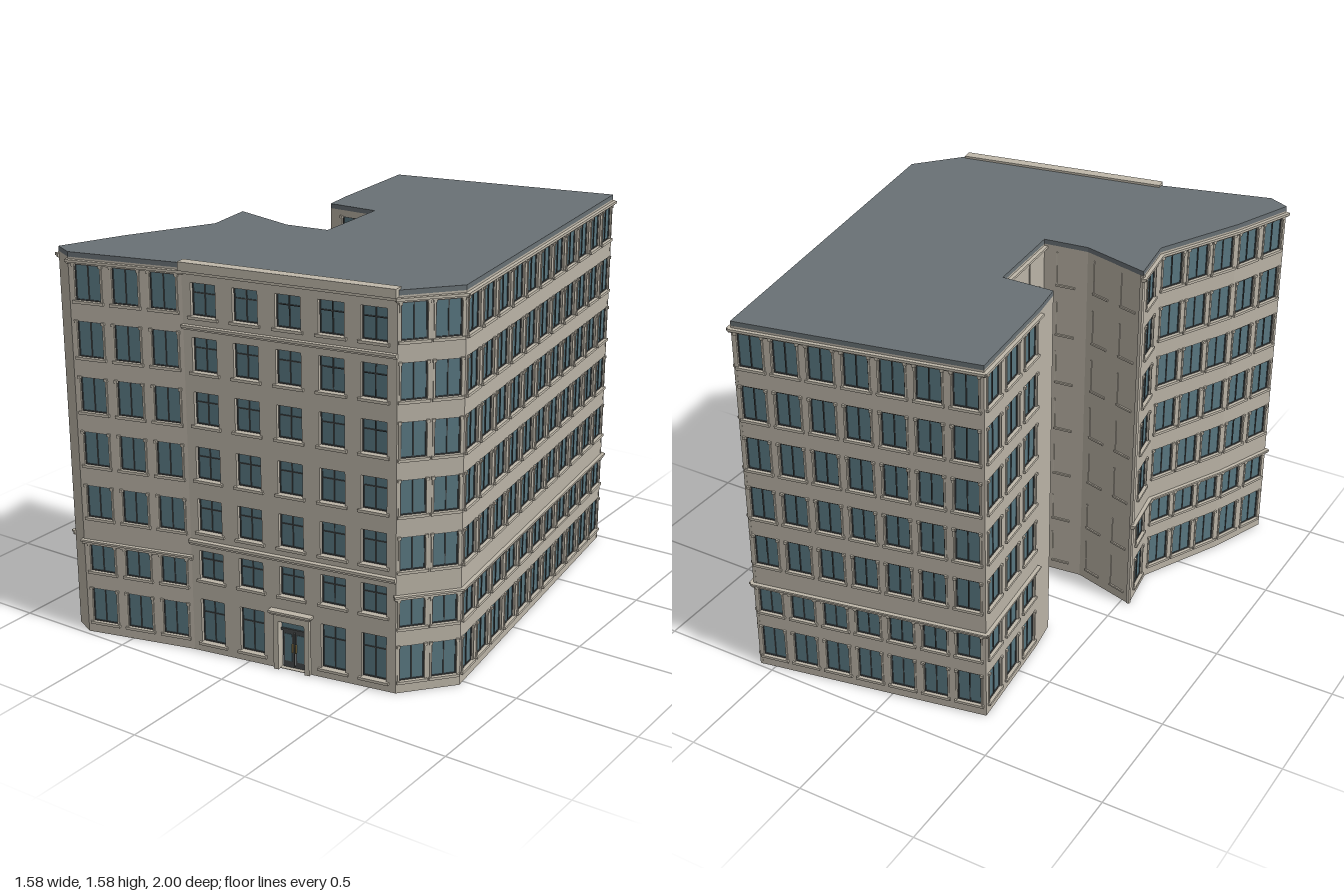
import * as THREE from 'three';
import { mergeGeometries } from 'three/addons/utils/BufferGeometryUtils.js';

const mat = (color) => new THREE.MeshStandardMaterial({ color });
const MATS = {
  stone: mat(0xbab3a6), trim: mat(0xbfb8aa), glass: mat(0x587680),
  frame: mat(0x45494a), roof: mat(0x697175), brass: mat(0xa08a55),
};
const WALL_TOP = 1.548;

// Storeys as [sill height, head height]
const SIDE_ROWS = [[0.05, 0.195], [0.27, 0.385], [0.5, 0.635], [0.72, 0.858], [0.94, 1.08], [1.16, 1.302], [1.382, 1.522]];
const FRONT_ROWS = [[0.04, 0.225], [0.31, 0.43], [0.51, 0.645], [0.725, 0.857], [0.945, 1.075], [1.155, 1.288], [1.37, 1.497]];

// Footprint corners [x, z]; each one starts a wall running to the next corner
const WALLS = [
  { at: [-0.69, 0.98], name: 'frontLeftWall', n: 3, w: 0.106, trim: true },
  { at: [-0.24, 0.865], name: 'entranceWall', front: true },
  { at: [0.607, 0.722], name: 'cornerWall', n: 2, w: 0.098, trim: true },
  { at: [0.77, 0.53], name: 'longSideWall', n: 11, w: 0.098, trim: true },
  { at: [0.567, -0.985], name: 'backWall', n: 7, w: 0.098, trim: true },
  { at: [-0.387, -0.802], name: 'rearWingWall', n: 3, w: 0.105, trim: true },
  { at: [-0.342, -0.33], name: 'rearWingEnd' },
  { at: [-0.32, -0.19], name: 'courtRearWall', n: 1, w: 0.1 },
  { at: [-0.103, -0.19], name: 'courtInnerWall', n: 2, w: 0.09, blind: true, trim: true },
  { at: [-0.077, 0.175], name: 'courtFrontWall', n: 1, w: 0.08, blind: true },
  { at: [-0.26, 0.195], name: 'courtSlantWall', n: 2, w: 0.08, blind: true },
  { at: [-0.538, 0.118], name: 'courtTipWall', n: 1, w: 0.1, trim: true },
  { at: [-0.505, 0.335], name: 'angledWall', n: 3, w: 0.098, trim: true },
  { at: [-0.675, 0.68], name: 'streetWall', n: 2, w: 0.098, trim: true },
  { at: [-0.775, 0.938], name: 'narrowWall' },
];

// Box given by its extents
function box(x0, x1, y0, y1, z0, z1) {
  return new THREE.BoxGeometry(x1 - x0, y1 - y0, z1 - z0)
    .translate((x0 + x1) / 2, (y0 + y1) / 2, (z0 + z1) / 2);
}

function addMesh(group, name, geometries, material) {
  if (!geometries.length) return;
  const mesh = new THREE.Mesh(mergeGeometries(geometries), material);
  mesh.name = name;
  group.add(mesh);
}

// Flat wall with rectangular openings, outer face at z = 0
function wallPanel(length, openings, thick) {
  const shape = new THREE.Shape([[0, 0], [length, 0], [length, WALL_TOP], [0, WALL_TOP]]
    .map(([x, y]) => new THREE.Vector2(x, y)));
  for (const [x0, x1, y0, y1] of openings) {
    shape.holes.push(new THREE.Path([[x0, y0], [x0, y1], [x1, y1], [x1, y0]]
      .map(([x, y]) => new THREE.Vector2(x, y))));
  }
  return new THREE.ExtrudeGeometry(shape, { depth: thick, bevelEnabled: false }).translate(0, 0, -thick);
}

// Glass, frame bars and stone sill of one window
function addWindow(parts, [x0, x1, y0, y1], depth, transom) {
  const f = 0.004, mid = (x0 + x1) / 2, z0 = -depth, z1 = -depth + 0.006;
  parts.glass.push(box(x0, x1, y0, y1, z0 - 0.002, z0 + 0.002));
  parts.frame.push(
    box(x0, x0 + f, y0, y1, z0, z1), box(x1 - f, x1, y0, y1, z0, z1),
    box(x0, x1, y0, y0 + f, z0, z1), box(x0, x1, y1 - f, y1, z0, z1),
    box(mid - f / 2, mid + f / 2, y0, y1, z0, z1));
  if (transom) {
    const t = y0 + (y1 - y0) * 0.68;
    parts.frame.push(box(x0, x1, t - f / 2, t + f / 2, z0, z1));
  }
  parts.trim.push(box(x0 - 0.011, x1 + 0.011, y0 - 0.011, y0, -0.004, 0.01));
  if (!transom) {
    // side jambs with small head blocks
    for (const [a, b] of [[x0 - 0.007, x0], [x1, x1 + 0.007]]) {
      parts.trim.push(box(a, b, y0, y1, -0.002, 0.004), box(a - 0.003, b + 0.003, y1 - 0.008, y1 + 0.003, -0.002, 0.008));
    }
  }
}

// Doorway with stone surround, hood, double leaf, fanlight and handles
function addDoor(parts, c) {
  const z = -0.022;
  for (const s of [-1, 1]) {
    const a = c + s * 0.055, b = c + s * 0.076, m = c + s * 0.026;
    parts.trim.push(box(Math.min(a, b), Math.max(a, b), 0, 0.225, -0.004, 0.014));
    parts.frame.push(box(m - 0.024, m + 0.024, 0.003, 0.158, z, z + 0.006));
    parts.glass.push(box(m - 0.015, m + 0.015, 0.03, 0.145, z + 0.003, z + 0.008));
    parts.brass.push(box(c + s * 0.007 - 0.002, c + s * 0.007 + 0.002, 0.07, 0.105, z + 0.006, z + 0.014));
  }
  parts.frame.push(box(c - 0.055, c + 0.055, 0.158, 0.168, z, z + 0.01));
  parts.glass.push(box(c - 0.055, c + 0.055, 0.168, 0.205, z, z + 0.004));
  parts.trim.push(
    box(c - 0.076, c + 0.076, 0.205, 0.235, -0.004, 0.014),
    box(c - 0.084, c + 0.084, 0.235, 0.243, -0.004, 0.024),
    box(c - 0.09, c + 0.09, 0.243, 0.252, -0.004, 0.03));
}

function buildWall(spec, next) {
  const group = new THREE.Group();
  group.name = spec.name;
  const dx = next[0] - spec.at[0], dz = next[1] - spec.at[1], len = Math.hypot(dx, dz);
  group.position.set(spec.at[0], 0, spec.at[1]);
  group.rotation.y = Math.atan2(-dz, dx);
  const parts = { trim: [], glass: [], frame: [], brass: [] };
  const openings = [];
  const thick = spec.front ? 0.024 : 0.012;

  if (spec.front) {
    // entrance front: five bays with the door in the middle
    [0.086, 0.258, 0.431, 0.603, 0.77].forEach((c, bay) => FRONT_ROWS.forEach(([y0, y1], row) => {
      if (bay === 2 && row === 0) {
        openings.push([c - 0.055, c + 0.055, 0.002, 0.205]);
        addDoor(parts, c);
      } else {
        const o = [c - 0.051, c + 0.051, y0, y1];
        openings.push(o);
        addWindow(parts, o, 0.021, true);
      }
    }));
    // string courses, cornice and parapet
    for (const [y0, y1, z] of [[0.455, 0.465, 0.012], [0.465, 0.476, 0.02], [1.318, 1.326, 0.01], [1.326, 1.336, 0.018], [1.53, 1.542, 0.012]]) {
      parts.trim.push(box(-0.002, len + 0.002, y0, y1, -0.004, z));
    }
    parts.trim.push(box(-0.004, len + 0.004, 1.542, 1.576, -0.022, 0.022));
  } else {
    for (let i = 0; i < (spec.n || 0); i++) {
      const c = (i + 0.5) * len / spec.n;
      for (const [y0, y1] of SIDE_ROWS) {
        const o = [c - spec.w / 2, c + spec.w / 2, y0, y1];
        if (spec.blind) {
          // walled-up window: only its sill and one jamb remain
          parts.trim.push(box(o[0], o[1], y0 - 0.008, y0, -0.002, 0.006), box(o[0], o[0] + 0.005, y0, y1, -0.002, 0.003));
        } else {
          openings.push(o);
          addWindow(parts, o, 0.01, false);
        }
      }
    }
    if (spec.trim) {
      // storey band and eaves cornice
      parts.trim.push(
        box(-0.006, len + 0.006, 0.386, 0.396, -0.004, 0.01), box(-0.008, len + 0.008, 0.396, 0.404, -0.004, 0.016),
        box(-0.006, len + 0.006, 1.524, 1.53, -0.004, 0.009), box(-0.008, len + 0.008, 1.53, 1.54, -0.004, 0.015));
    }
  }
  addMesh(group, 'masonry', [wallPanel(len, openings, thick)], MATS.stone);
  addMesh(group, 'stoneTrim', parts.trim, MATS.trim);
  addMesh(group, 'glazing', parts.glass, MATS.glass);
  addMesh(group, 'frames', parts.frame, MATS.frame);
  addMesh(group, 'doorHandles', parts.brass, MATS.brass);
  return group;
}

export function createModel() {
  const model = new THREE.Group();
  model.name = 'cornerBuilding';
  WALLS.forEach((spec, i) => model.add(buildWall(spec, WALLS[(i + 1) % WALLS.length].at)));

  // flat roof slab following the footprint
  const outline = new THREE.Shape(WALLS.map(({ at }) => new THREE.Vector2(at[0], -at[1])));
  const slab = new THREE.ExtrudeGeometry(outline, { depth: 0.02, bevelEnabled: false })
    .rotateX(-Math.PI / 2).translate(0, WALL_TOP - 0.001, 0);
  addMesh(model, 'roof', [slab], MATS.roof);
  return model;
}
